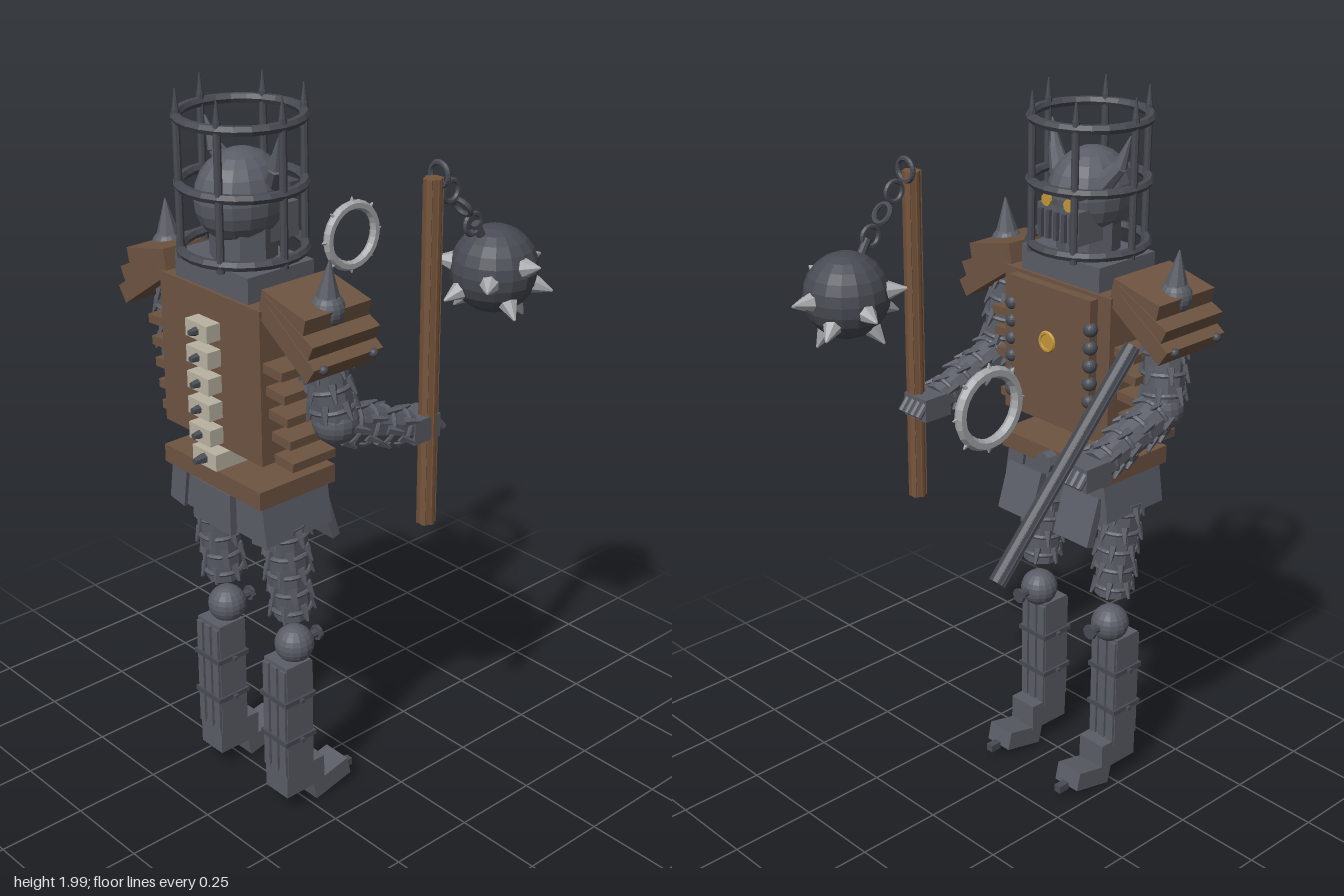
import * as THREE from 'three';

const mat = (name, color) => {
  const m = new THREE.MeshStandardMaterial({ color, flatShading: true });
  m.name = name;
  return m;
};

export function createModel() {
  const iron = mat('iron', 0x5a5d66), dark = mat('dark iron', 0x484b53);
  const leather = mat('leather', 0x6e5441), wood = mat('wood', 0x76553c);
  const bone = mat('bone', 0xb9b3a2), steel = mat('pale steel', 0xa6a8ab), gold = mat('gold', 0xc4973a);
  const V = (x, y, z) => new THREE.Vector3(x, y, z);
  const UP = V(0, 1, 0);

  const root = new THREE.Group();
  root.name = 'cagedWarrior';
  // The warrior stands off centre, facing -z
  const body = new THREE.Group();
  body.name = 'body';
  body.position.set(-0.04, 0, 0.29);
  root.add(body);

  const add = (parent, name, geo, m, x = 0, y = 0, z = 0, rx = 0, ry = 0, rz = 0) => {
    const mesh = new THREE.Mesh(geo, m);
    mesh.name = name;
    mesh.position.set(x, y, z);
    mesh.rotation.set(rx, ry, rz);
    parent.add(mesh);
    return mesh;
  };
  const box = (p, name, m, w, h, d, ...at) => add(p, name, new THREE.BoxGeometry(w, h, d), m, ...at);
  const ball = (p, name, m, r, ...at) => add(p, name, new THREE.SphereGeometry(r, 16, 12), m, ...at);
  const ring = (p, name, m, r, t, ...at) => add(p, name, new THREE.TorusGeometry(r, t, 6, 24), m, ...at);
  // Tapered rod between two points
  const rod = (p, name, m, a, b, r0, r1 = r0, sides = 8) => {
    const d = b.clone().sub(a);
    const mesh = add(p, name, new THREE.CylinderGeometry(r1, r0, d.length(), sides), m);
    mesh.position.copy(a).addScaledVector(d, 0.5);
    mesh.quaternion.setFromUnitVectors(UP, d.normalize());
    return mesh;
  };
  // Limb piece wrapped in raised strips and small thorns
  const limb = (p, name, a, b, r0, r1) => {
    const m = rod(p, name, iron, a, b, r0, r1, 10);
    const len = a.distanceTo(b), rows = Math.max(2, Math.round(len / 0.06));
    for (let i = 0; i < rows; i++) {
      const t = (i + 0.5) / rows, r = r0 + (r1 - r0) * t;
      ring(m, name + 'Band', iron, r, 0.007, 0, (t - 0.5) * len, 0, Math.PI / 2);
      for (let k = 0; k < 6; k++) {
        const u = (k + (i % 2) / 2) * Math.PI / 3, y = (t - 0.5) * len;
        rod(m, name + 'Thorn', iron, V(Math.cos(u) * r * 0.9, y - 0.02, Math.sin(u) * r * 0.9),
          V(Math.cos(u) * (r + 0.012), y + 0.025, Math.sin(u) * (r + 0.012)), 0.014, 0.004, 5);
      }
    }
    return m;
  };

  // Head cage: three hoops and six spiked posts
  for (const y of [1.6, 1.765, 1.93]) ring(body, 'cageHoop', dark, 0.155, 0.013, 0, y, 0, Math.PI / 2);
  for (let i = 0; i < 6; i++) {
    const a = i * Math.PI / 3, x = Math.cos(a) * 0.155, z = Math.sin(a) * 0.155;
    rod(body, 'cagePost', dark, V(x, 1.58, z), V(x, 1.95, z), 0.01);
    rod(body, 'cageSpike', dark, V(x, 1.94, z), V(x, 2, z), 0.01, 0.002);
  }

  // Helmeted head
  ball(body, 'head', iron, 0.12, 0, 1.73, 0.005).scale.set(0.87, 1, 1.03);
  box(body, 'jaw', iron, 0.15, 0.09, 0.11, 0, 1.665, -0.06);
  rod(body, 'throat', iron, V(0, 1.56, 0), V(0, 1.68, 0), 0.085);
  box(body, 'neckBlock', iron, 0.285, 0.08, 0.21, 0, 1.537, 0);
  for (let i = -2; i <= 2; i++) box(body, 'faceBar', dark, 0.012, 0.075, 0.015, i * 0.028, 1.66, -0.118);
  box(body, 'brow', dark, 0.15, 0.02, 0.03, 0, 1.75, -0.105);
  for (const s of [-1, 1]) {
    add(body, 'eye', new THREE.CylinderGeometry(0.017, 0.017, 0.009, 12), gold, s * 0.04, 1.722, -0.115, Math.PI / 2);
    rod(body, 'horn', iron, V(s * 0.075, 1.77, -0.03), V(s * 0.115, 1.82, -0.01), 0.03, 0.02);
    rod(body, 'hornTip', iron, V(s * 0.115, 1.82, -0.01), V(s * 0.14, 1.9, 0), 0.02, 0.002);
  }

  // Torso and breastplate
  box(body, 'torso', leather, 0.39, 0.41, 0.23, 0, 1.305, 0);
  box(body, 'breastplate', leather, 0.3, 0.36, 0.03, 0, 1.32, -0.128);
  add(body, 'chestDisc', new THREE.CylinderGeometry(0.025, 0.025, 0.009, 16), gold, 0, 1.35, -0.146, Math.PI / 2);
  ring(body, 'chestDiscRim', gold, 0.024, 0.006, 0, 1.35, -0.148);
  for (const s of [-1, 1]) for (let i = 0; i < 6; i++) {
    ball(body, 'chestStud', dark, 0.02, s * 0.145, 1.17 + i * 0.05, -0.135);
  }
  // Rib slats
  for (let i = 0; i < 5; i++) {
    const y = 1.11 + i * 0.063, d = 0.14 + i * 0.016;
    for (const s of [-1, 1]) box(body, 'rib', leather, 0.09, 0.024, d, s * 0.22, y, 0.005, 0, 0, -s * 0.06);
  }
  // Spine with thorns
  for (let i = 0; i < 6; i++) {
    const y = 1.065 + i * 0.07, low = i === 0;
    box(body, 'vertebra', bone, low ? 0.095 : 0.085, 0.045, low ? 0.11 : 0.05, 0, y, low ? 0.09 : 0.132);
    rod(body, 'vertebraThorn', dark, V(0, y, 0.14), V(0, y, 0.178), 0.016, 0.008, 6);
  }

  // Belt and skirt plates
  box(body, 'belt', leather, 0.39, 0.05, 0.25, 0, 1.005, 0);
  add(body, 'buckle', new THREE.CylinderGeometry(0.03, 0.03, 0.035, 8), iron, 0, 1, -0.14, Math.PI / 2);
  box(body, 'hips', iron, 0.3, 0.115, 0.2, 0, 0.922, 0);
  box(body, 'backSkirt', iron, 0.155, 0.115, 0.02, 0, 0.922, 0.118);
  for (const s of [-1, 1]) {
    box(body, 'sideSkirt', iron, 0.06, 0.115, 0.22, s * 0.162, 0.922, 0, 0, 0, s * 0.15);
    box(body, 'tasset', iron, 0.13, 0.14, 0.025, s * 0.11, 0.87, -0.128, 0.3);
  }

  for (const s of [-1, 1]) {
    // Shoulder plates and spike
    box(body, 'shoulderTop', leather, 0.16, 0.065, 0.21, s * 0.265, 1.515, 0, 0, 0, -s * 0.22);
    box(body, 'shoulderMiddle', leather, 0.19, 0.06, 0.215, s * 0.28, 1.485, 0, 0, 0, -s * 0.45);
    box(body, 'shoulderLower', leather, 0.2, 0.05, 0.22, s * 0.29, 1.452, 0, 0, 0, -s * 0.6);
    ball(body, 'spikeBase', iron, 0.045, s * 0.31, 1.52, 0);
    rod(body, 'shoulderSpike', iron, V(s * 0.31, 1.54, 0), V(s * 0.318, 1.645, 0), 0.034, 0.002);
    for (const z of [-0.08, 0.08]) ball(body, 'shoulderRivet', dark, 0.012, s * 0.385, 1.41, z);

    // Arm
    const x = s * 0.305;
    limb(body, 'upperArm', V(s * 0.28, 1.45, 0), V(x, 1.235, -0.025), 0.057, 0.055);
    ball(body, 'elbow', iron, 0.06, x, 1.22, -0.03);
    limb(body, 'forearm', V(x, 1.215, -0.035), V(x, 1.13, -0.27), 0.054, 0.043);
    box(body, 'hand', iron, 0.09, 0.065, 0.09, x, 1.125, -0.305);
    for (let i = 0; i < 4; i++) {
      const fx = x + (i - 1.5) * 0.023;
      rod(body, 'finger', iron, V(fx, 1.145, -0.34), V(fx, 1.11, -0.37), 0.01);
    }

    // Leg
    const lx = s * 0.143;
    limb(body, 'thigh', V(lx, 0.89, 0.005), V(lx, 0.605, -0.02), 0.06, 0.05);
    ball(body, 'knee', iron, 0.054, lx, 0.51, -0.025);
    rod(body, 'kneeSpike', dark, V(lx, 0.51, -0.07), V(lx, 0.51, -0.105), 0.012);
    add(body, 'kneeCap', new THREE.CylinderGeometry(0.022, 0.022, 0.01, 8), dark, lx, 0.51, -0.106, Math.PI / 2);
    box(body, 'shin', iron, 0.095, 0.35, 0.085, lx, 0.3, 0);
    for (const k of [-1, 0, 1]) box(body, 'shinStrip', iron, 0.022, 0.33, 0.1, lx + k * 0.034, 0.3, 0);
    for (const y of [0.24, 0.365]) {
      box(body, 'shinBand', dark, 0.108, 0.014, 0.108, lx, y, 0);
      for (const k of [-1, 1]) box(body, 'bandStud', dark, 0.012, 0.01, 0.012, lx + k * 0.058, y, 0);
    }
    box(body, 'ankle', iron, 0.09, 0.08, 0.135, lx, 0.1, -0.022);
    box(body, 'foot', iron, 0.088, 0.055, 0.13, lx, 0.047, -0.12, 0.22);
    box(body, 'toeClaw', dark, 0.022, 0.022, 0.035, lx, 0.037, -0.208);
  }

  // Bundle of square strips used for weapon shafts
  const shaft = (name, m, a, b, r) => {
    const core = rod(root, name, m, a, b, r, r, 8);
    for (let i = 0; i < 6; i++) {
      const u = i * Math.PI / 3;
      box(core, name + 'Strip', m, r * 0.4, a.distanceTo(b), r * 0.4, Math.cos(u) * r * 0.9, 0, Math.sin(u) * r * 0.9, 0, -u);
    }
  };

  // Iron club and the loose thorned ring beyond it
  shaft('club', dark, V(-0.35, 1.425, 0.135), V(-0.35, 0.925, -0.33), 0.02);
  const hoop = ring(root, 'thornedRing', steel, 0.09, 0.015, -0.35, 1.4, -0.355, 0, Math.PI / 2);
  for (let i = 0; i < 8; i++) {
    const a = i * Math.PI / 4, c = Math.cos(a), n = Math.sin(a);
    rod(hoop, 'ringThorn', steel, V(c * 0.092, n * 0.092, 0), V(c * 0.114, n * 0.114, 0), 0.01, 0.002, 5);
  }

  // Flail: staff, chain and spiked ball
  shaft('staff', wood, V(0.29, 0.845, -0.035), V(0.29, 1.78, -0.035), 0.023);
  ring(root, 'staffRing', dark, 0.03, 0.007, 0.29, 1.785, -0.055);
  [[1.735, -0.095, 1], [1.685, -0.137, 0], [1.632, -0.178, 1]].forEach(([y, z, side]) =>
    ring(root, 'chainLink', dark, 0.027, 0.007, 0.29, y, z, side ? 0 : 0.6, side ? Math.PI / 2 : 0));
  rod(root, 'flailStem', dark, V(0.287, 1.63, -0.19), V(0.287, 1.58, -0.22), 0.012);
  const flail = ball(root, 'flailBall', dark, 0.115, 0.287, 1.495, -0.265);
  for (let i = 0; i < 11; i++) {
    const y = 0.25 - i * 0.11, a = i * 2.4, r = Math.sqrt(1 - y * y);
    const d = V(Math.cos(a) * r, y, Math.sin(a) * r);
    rod(flail, 'flailSpike', steel, d.clone().multiplyScalar(0.1), d.clone().multiplyScalar(0.16), 0.03, 0.003, 7);
  }
  return root;
}
